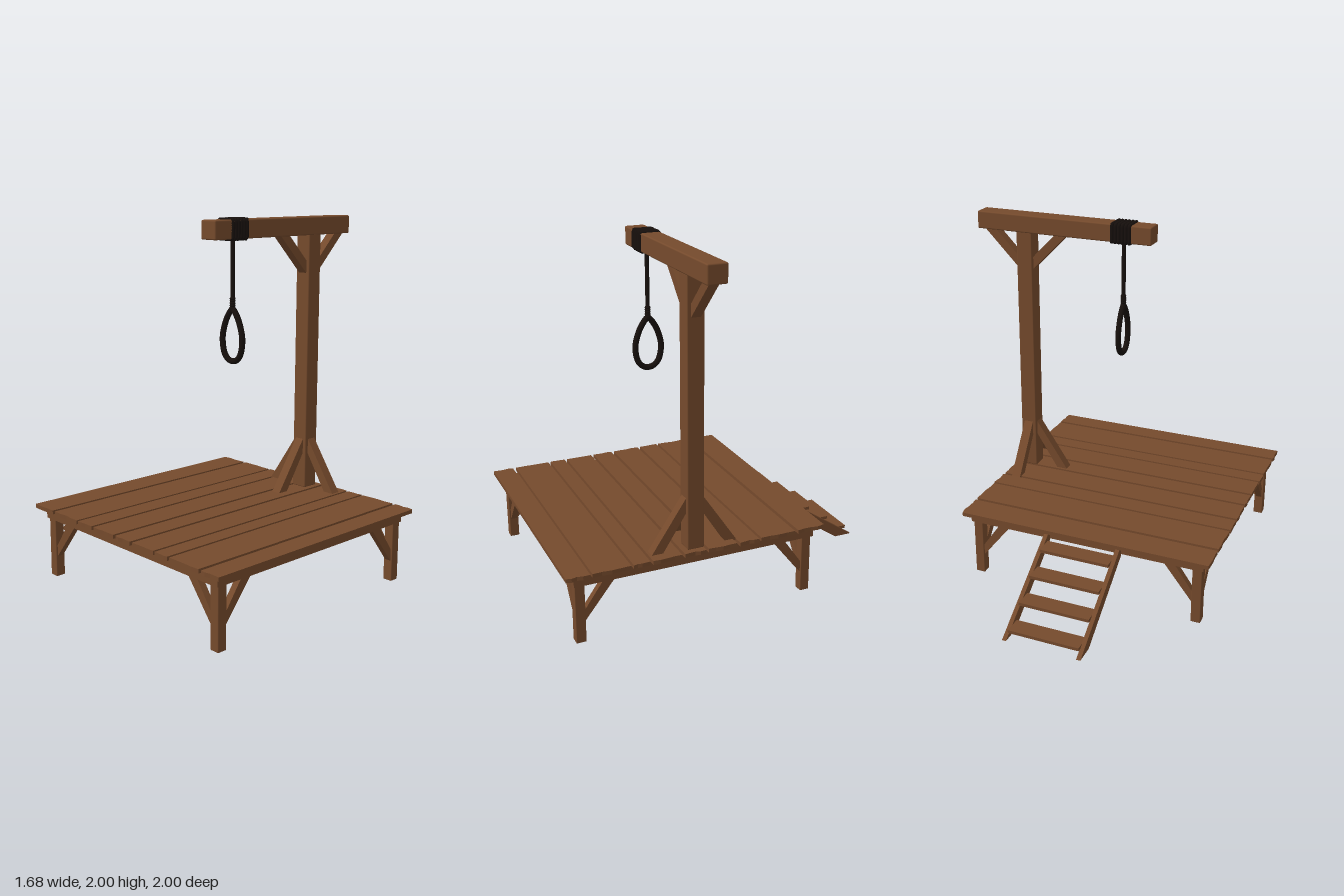
import * as THREE from 'three';
import { RoundedBoxGeometry } from 'three/addons/geometries/RoundedBoxGeometry.js';

const wood = new THREE.MeshStandardMaterial({ color: 0x754a2c });
const ropeMat = new THREE.MeshStandardMaterial({ color: 0x17100d });

let seed = 7;
const rand = () => (seed = (seed * 16807) % 2147483647) / 2147483647;

export function createModel() {
  const model = new THREE.Group();

  function add(name, geometry, material = wood) {
    const mesh = new THREE.Mesh(geometry, material);
    mesh.name = name;
    model.add(mesh);
    return mesh;
  }

  // Box from its limits, with optional softened edges
  function box(name, x0, x1, y0, y1, z0, z1, r = 0) {
    const s = [x1 - x0, y1 - y0, z1 - z0];
    const g = r ? new RoundedBoxGeometry(...s, 2, r) : new THREE.BoxGeometry(...s);
    const mesh = add(name, g);
    mesh.position.set((x0 + x1) / 2, (y0 + y1) / 2, (z0 + z1) / 2);
    return mesh;
  }

  // Extruded outline, centred on its thickness
  function slab(points, depth) {
    const shape = new THREE.Shape(points.map(([x, y]) => new THREE.Vector2(x, y)));
    const g = new THREE.ExtrudeGeometry(shape, { depth, bevelEnabled: false });
    return g.translate(0, 0, -depth / 2);
  }

  // Diagonal brace: a and b are heights on the upright, c and d distances out at height end
  function brace(name, x, z, angle, [a, b, c, d, end], depth) {
    const mesh = add(name, slab([[0, a], [0, b], [c, end], [d, end]], depth));
    mesh.position.set(x, 0, z);
    mesh.rotation.y = angle;
  }
  const TO_RIGHT = Math.PI, TO_LEFT = 0, TO_FRONT = -Math.PI / 2, TO_BACK = Math.PI / 2;

  // Platform base
  box('platformBase', -0.8, 0.6, 0.335, 0.39, -0.44, 0.95);

  // Deck planks with slightly ragged ends
  const planks = [[-0.49, -0.325], [-0.305, -0.1], [-0.085, 0.03], [0.047, 0.212], [0.23, 0.35],
    [0.368, 0.53], [0.545, 0.637], [0.652, 0.86], [0.88, 1]];
  for (const [z0, z1] of planks) {
    const outline = [];
    for (let i = 0; i <= 4; i++) outline.push([0.628 + rand() * 0.01, -z0 - (z1 - z0) * i / 4]);
    for (let i = 4; i >= 0; i--) outline.push([-0.836 - rand() * 0.008, -z0 - (z1 - z0) * i / 4]);
    const plank = add('deckPlank', slab(outline, 0.022).rotateX(-Math.PI / 2));
    plank.position.y = 0.4;
  }

  // Legs, each with two braces pointing inwards
  const legBrace = [0.115, 0.18, 0.11, 0.175, 0.336];
  for (const [x, sx] of [[-0.7625, 1], [0.5625, -1]]) {
    for (const [z, sz] of [[-0.4025, 1], [0.9175, -1]]) {
      box('leg', x - 0.0275, x + 0.0275, 0, 0.336, z - 0.0275, z + 0.0275, 0.004);
      brace('legBrace', x + sx * 0.025, z, sx > 0 ? TO_LEFT : TO_RIGHT, legBrace, 0.036);
      brace('legBrace', x, z + sz * 0.025, sz > 0 ? TO_FRONT : TO_BACK, legBrace, 0.036);
    }
  }

  // Upright post and overhead beam
  box('post', 0.502, 0.598, 0.41, 1.89, 0.225, 0.32, 0.006);
  box('beam', -0.23, 0.84, 1.885, 1.987, 0.215, 0.325, 0.008);

  // Braces under the beam and at the foot of the post
  const topBrace = [1.67, 1.74, 0.145, 0.215, 1.888];
  brace('beamBrace', 0.504, 0.272, TO_RIGHT, topBrace, 0.055);
  brace('beamBrace', 0.596, 0.272, TO_LEFT, topBrace, 0.055);
  const footBrace = [0.62, 0.705, 0.205, 0.14, 0.4];
  brace('postBrace', 0.504, 0.272, TO_RIGHT, footBrace, 0.055);
  brace('postBrace', 0.55, 0.318, TO_FRONT, footBrace, 0.055);
  brace('postBrace', 0.55, 0.227, TO_BACK, footBrace, 0.055);

  // Ladder rails and treads
  const rail = [[0.44, 0.39], [1, 0.015], [0.89, 0.015], [0.44, 0.325]];
  for (const x of [-0.317, 0.112]) {
    const mesh = add('ladderRail', slab(rail, 0.024));
    mesh.rotation.y = Math.PI / 2;
    mesh.position.x = x;
  }
  for (let i = 0; i < 4; i++) {
    const y = 0.327 - i * 0.09, z = -0.522 - i * 0.133;
    box('ladderTread', -0.307, 0.102, y - 0.009, y + 0.009, z - 0.051, z + 0.051);
  }

  // Rope wound round the beam
  const rx = -0.05, rz = 0.27;
  const turns = [[1, 1], [1, -1], [-1, -1], [-1, 1]];
  for (let i = 0; i < 6; i++) {
    const path = new THREE.CurvePath();
    const corners = turns.map(([a, b]) => new THREE.Vector3(-0.102 + i * 0.0205, 1.936 + a * 0.049, rz + b * 0.054));
    corners.forEach((p, k) => path.add(new THREE.LineCurve3(p, corners[(k + 1) % 4])));
    add('beamRopeTurn', new THREE.TubeGeometry(path, 32, 0.0115, 8, true), ropeMat);
  }

  // Hanging rope
  const rope = add('hangingRope', new THREE.CylinderGeometry(0.012, 0.012, 0.4, 10), ropeMat);
  rope.position.set(rx, 1.695, rz);

  // Knot wraps
  for (let i = 0; i < 6; i++) {
    const wrap = add('knotWrap', new THREE.TorusGeometry(0.01, 0.007, 6, 14).rotateX(Math.PI / 2), ropeMat);
    wrap.position.set(rx, 1.505 + i * 0.0125, rz);
  }

  // Teardrop loop
  const half = [[0.03, 1.48], [0.06, 1.42], [0.076, 1.345], [0.06, 1.265], [0.03, 1.234]];
  const ring = [[0, 1.51], ...half, [0, 1.227], ...half.slice().reverse().map(([z, y]) => [-z, y])];
  const loop = new THREE.CatmullRomCurve3(ring.map(([z, y]) => new THREE.Vector3(rx, y, rz + z)), true);
  add('ropeLoop', new THREE.TubeGeometry(loop, 64, 0.0165, 10, true), ropeMat);

  return model;
}
